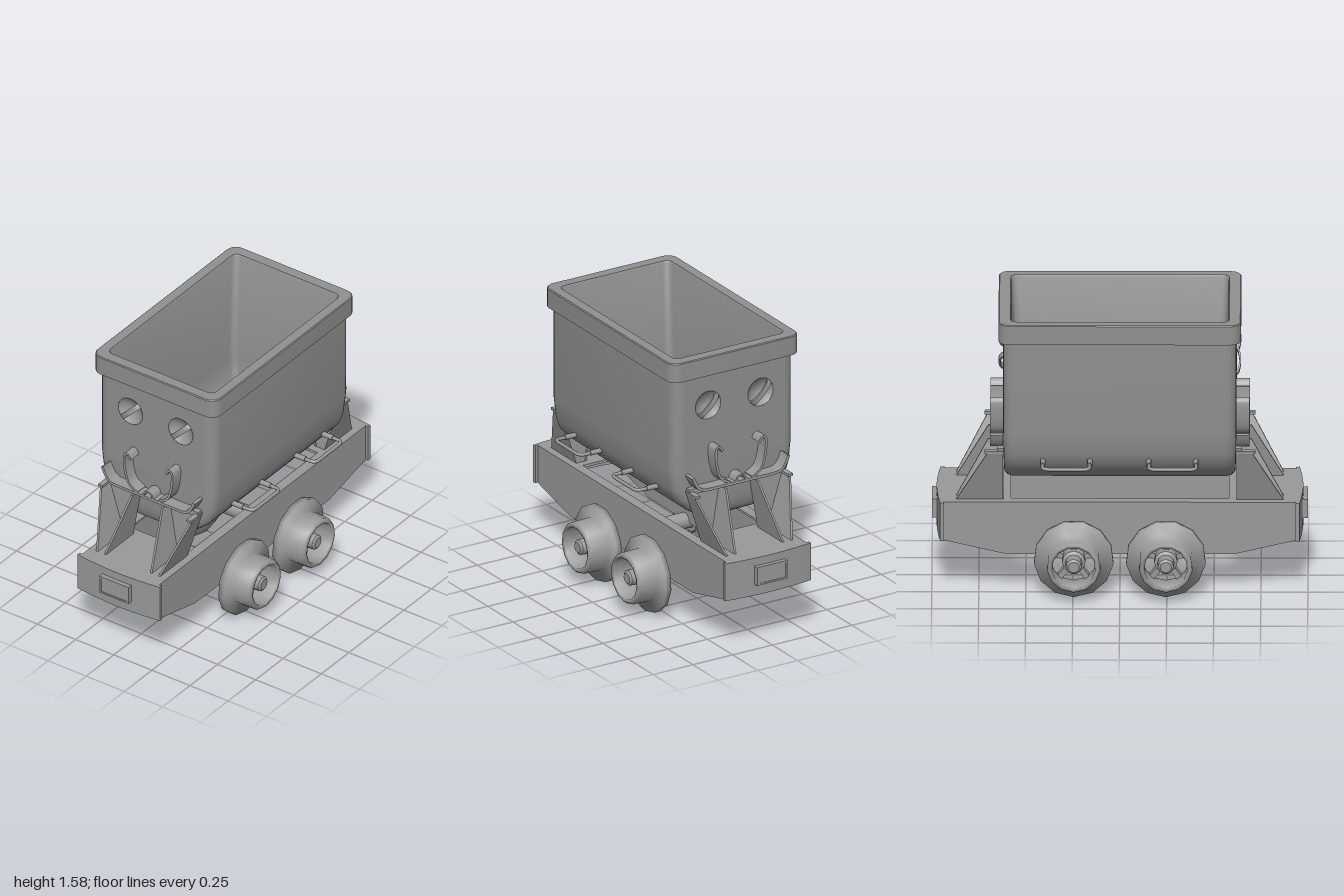
import * as THREE from 'three';
import { toCreasedNormals } from 'three/addons/utils/BufferGeometryUtils.js';

const steel = new THREE.MeshStandardMaterial({ color: 0x999999 });
const thin = new THREE.MeshStandardMaterial({ color: 0x999999, side: THREE.DoubleSide });
const tubSteel = new THREE.MeshStandardMaterial({ color: 0x909090 });

function add(parent, name, geometry, material = steel) {
  const mesh = new THREE.Mesh(geometry, material);
  mesh.name = name;
  parent.add(mesh);
  return mesh;
}

function box(x0, x1, y0, y1, z0, z1) {
  return new THREE.BoxGeometry(x1 - x0, y1 - y0, z1 - z0)
    .translate((x0 + x1) / 2, (y0 + y1) / 2, (z0 + z1) / 2);
}

const points = (pts) => pts.map(([x, y]) => new THREE.Vector2(x, y));
const shapeOf = (pts) => new THREE.Shape(points(pts));
const extrude = (shape, depth) =>
  toCreasedNormals(new THREE.ExtrudeGeometry(shape, { depth, bevelEnabled: false, curveSegments: 8 }), 0.6);

// Outline of a thin strip that follows a smooth 2D curve
function stripShape(pts, thickness, n = 20) {
  const curve = new THREE.SplineCurve(points(pts));
  const a = [], b = [];
  for (let i = 0; i <= n; i++) {
    const p = curve.getPoint(i / n), t = curve.getTangent(i / n), h = thickness / 2;
    a.push([p.x - t.y * h, p.y + t.x * h]);
    b.unshift([p.x + t.y * h, p.y - t.x * h]);
  }
  return shapeOf([...a, ...b]);
}

// Skin through rounded-rectangle levels [y, halfX, halfZ, radius]; one band leaves its end panels open
function tubGeometry(levels, openBand) {
  const seg = 5, n = 4 * (seg + 1), pos = [], index = [];
  for (const [y, hx, hz, r] of levels) {
    for (let c = 0; c < 4; c++) {
      const sx = c === 0 || c === 3 ? 1 : -1, sz = c < 2 ? 1 : -1;
      for (let i = 0; i <= seg; i++) {
        const a = (c + i / seg) * Math.PI / 2;
        pos.push(sx * (hx - r) + r * Math.cos(a), y, sz * (hz - r) + r * Math.sin(a));
      }
    }
  }
  for (let l = 0; l < levels.length - 1; l++) {
    for (let i = 0; i < n; i++) {
      if (l === openBand && (i === n - 1 || i === n / 2 - 1)) continue;
      const j = (i + 1) % n, a = l * n + i, b = l * n + j;
      index.push(a, a + n, b, b, a + n, b + n);
    }
  }
  const g = new THREE.BufferGeometry();
  g.setAttribute('position', new THREE.Float32BufferAttribute(pos, 3));
  g.setIndex(index);
  return toCreasedNormals(g, 0.7);
}

// Leg cheek: flat plate leaning sideways, from z0 at the deck to z1 at the top
function cheekGeometry(z0, z1) {
  const k = (z1 - z0) / 0.305;
  const lean = new THREE.Matrix4().set(1, 0, 0, 0, 0, 1, 0, 0, 0, k, 1, z0 - k * 0.515, 0, 0, 0, 1);
  const outline = shapeOf([[0.62, 0.515], [0.87, 0.515], [0.7, 0.82], [0.62, 0.82]]);
  return extrude(outline, 0.012).translate(0, 0, -0.006).applyMatrix4(lean);
}

function createWheel() {
  const wheel = new THREE.Group();
  wheel.name = 'wheel';
  // Flanged tyre, axis along z
  const rim = points([[0.115, 0.45], [0.125, 0.335], [0.125, 0.3], [0.14, 0.283], [0.16, 0.29], [0.213, 0.292],
    [0.213, 0.325], [0.145, 0.335], [0.143, 0.44], [0.132, 0.455], [0.115, 0.45]]);
  add(wheel, 'tyre', toCreasedNormals(new THREE.LatheGeometry(rim, 13).rotateX(Math.PI / 2), 1.7), thin);
  const hub = points([[0, 0.265], [0.065, 0.265], [0.062, 0.36], [0.045, 0.37], [0.042, 0.43], [0.03, 0.44], [0, 0.44]]);
  add(wheel, 'hub', toCreasedNormals(new THREE.LatheGeometry(hub, 12).rotateX(Math.PI / 2), 0.6), thin);
  for (let i = 0; i < 5; i++) {
    add(wheel, 'spoke', box(0.045, 0.13, -0.015, 0.015, 0.28, 0.33)).rotation.z = 0.3 + i * Math.PI * 0.4;
  }
  return wheel;
}

function createEnd() {
  const end = new THREE.Group();
  end.name = 'end';
  const eyeZ = 0.165, eyeY = 1.29, eyeR = 0.08;
  const strip = (name, pts, thickness) =>
    add(end, name, extrude(stripShape(pts, thickness, 32), 0.07).rotateY(Math.PI / 2).translate(0.62, 0, 0), thin);

  // Tub end panel with two round recesses, each crossed by an arched grab bar
  const panel = shapeOf([[-0.32, 0.95], [0.32, 0.95], [0.32, 1.47], [-0.32, 1.47]]);
  const dish = points([[0, -0.036], [0.03, -0.031], [0.06, -0.016], [eyeR, 0]]);
  const barShape = stripShape([[-0.08, -0.01], [-0.06, 0.01], [0, 0.02], [0.06, 0.01], [0.08, -0.01]], 0.01);
  const h = Math.SQRT1_2;
  const basis = new THREE.Matrix4().makeBasis(
    new THREE.Vector3(0, h, -h), new THREE.Vector3(1, 0, 0), new THREE.Vector3(0, -h, -h));
  for (const s of [-1, 1]) {
    panel.holes.push(new THREE.Path().absarc(s * eyeZ, eyeY, eyeR, 0, Math.PI * 2, true));
    add(end, 'recess', new THREE.LatheGeometry(dish, 24).rotateZ(-Math.PI / 2), thin)
      .position.set(0.62, eyeY, s * eyeZ);
    add(end, 'grabBar', extrude(barShape, 0.03).translate(0, 0, -0.015).applyMatrix4(basis))
      .position.set(0.62, eyeY, s * eyeZ);
  }
  add(end, 'endPanel', new THREE.ShapeGeometry(panel, 24).rotateY(Math.PI / 2).translate(0.62, 0, 0), tubSteel);

  // Curved rocker hooks and hollow flared legs
  const hook = [[0.115, 1.035], [0.13, 1.06], [0.15, 1.06], [0.158, 1.03], [0.15, 0.95], [0.125, 0.88], [0.07, 0.845]];
  const legBack = shapeOf([[0.145, 0.515], [0.21, 0.515], [0.3, 0.82], [0.1, 0.82]]);
  for (const s of [-1, 1]) {
    strip('rockerHook', hook.map(([z, y]) => [s * z, y]), 0.014);
    const leg = new THREE.Group();
    leg.name = 'leg';
    leg.scale.z = s;
    add(leg, 'outerCheek', cheekGeometry(0.204, 0.3));
    add(leg, 'innerCheek', cheekGeometry(0.151, 0.1));
    add(leg, 'legBack', extrude(legBack, 0.012).rotateY(-Math.PI / 2).translate(0.635, 0, 0));
    add(leg, 'legLip', box(0.615, 0.72, 0.81, 0.825, 0.275, 0.305));
    end.add(leg);
  }
  // Cradle rail with upturned ends and a small centre arch
  const half = [[0.3, 0.92], [0.285, 0.885], [0.26, 0.85], [0.22, 0.836], [0.1, 0.835]];
  strip('cradleRail', [...half, ...half.map(([z, y]) => [-z, y]).reverse()], 0.016);
  strip('centreArch', [[-0.032, 0.84], [-0.022, 0.865], [0, 0.874], [0.022, 0.865], [0.032, 0.84]], 0.01);
  add(end, 'cradleShelf', box(0.615, 0.65, 0.81, 0.84, -0.3, 0.3));

  // Frame end: deck, bowed buffer beam and coupling plate
  add(end, 'deck', box(0.58, 0.955, 0.5, 0.515, -0.245, 0.245));
  const beam = stripShape([[0.945, -0.27], [0.957, -0.16], [0.965, 0], [0.957, 0.16], [0.945, 0.27]], 0.02);
  add(end, 'bufferBeam', extrude(beam, 0.215).rotateX(-Math.PI / 2).translate(0, 0.3, 0));
  add(end, 'couplingPlate', box(0.96, 0.996, 0.37, 0.465, -0.09, 0.09));
  const rim = shapeOf([[-0.095, 0.365], [0.095, 0.365], [0.095, 0.47], [-0.095, 0.47]]);
  rim.holes.push(new THREE.Path(points([[-0.085, 0.375], [-0.085, 0.46], [0.085, 0.46], [0.085, 0.375]])));
  add(end, 'couplingRim', extrude(rim, 0.04).rotateY(Math.PI / 2).translate(0.96, 0, 0));
  return end;
}

export function createModel() {
  const model = new THREE.Group();
  model.name = 'tippingMineCart';

  // Tub: outside from the keel up, over the rim, then down the inside
  const levels = [
    [0.63, 0.58, 0, 0], [0.632, 0.58, 0.15, 0.04], [0.645, 0.602, 0.2, 0.05], [0.675, 0.614, 0.25, 0.06],
    [0.72, 0.616, 0.305, 0.06], [0.77, 0.617, 0.345, 0.06], [0.83, 0.618, 0.366, 0.06], [0.95, 0.62, 0.38, 0.06],
    [1.47, 0.62, 0.38, 0.06], [1.47, 0.645, 0.405, 0.06], [1.575, 0.645, 0.405, 0.06], [1.58, 0.64, 0.4, 0.055],
    [1.58, 0.582, 0.347, 0.035], [1.57, 0.577, 0.342, 0.035], [0.95, 0.545, 0.335, 0.035], [0.81, 0.54, 0.315, 0.035],
    [0.73, 0.535, 0.25, 0.035], [0.68, 0.53, 0.15, 0.035], [0.665, 0.53, 0, 0]];
  add(model, 'tub', tubGeometry(levels, 7), tubSteel);

  // Ends, repeated by a half turn
  const end = createEnd();
  const otherEnd = end.clone();
  otherEnd.rotation.y = Math.PI;
  model.add(end, otherEnd);

  const plate = shapeOf([[-0.945, 0.3], [-0.61, 0.22], [0.61, 0.22], [0.945, 0.3], [0.945, 0.515], [-0.945, 0.515]]);
  for (const s of [-1, 1]) {
    add(model, 'sidePlate', extrude(plate, 0.016).translate(0, 0, s * 0.244 - 0.008));
    add(model, 'topFlange', box(-0.6, 0.6, 0.503, 0.515, s * 0.22 - 0.025, s * 0.22 + 0.025));
    for (const cx of [-0.28, 0.285]) {
      // Side handles with stout feet
      const path = new THREE.CurvePath();
      const pts = [[-0.125, 0.34], [-0.125, 0.45], [-0.09, 0.482], [0.09, 0.482], [0.125, 0.45], [0.125, 0.34]]
        .map(([x, z]) => new THREE.Vector3(cx + x, 0.79, s * z));
      const corner = (i) => new THREE.Vector3(pts[i].x, 0.79, s * 0.482);
      path.add(new THREE.LineCurve3(pts[0], pts[1]));
      path.add(new THREE.QuadraticBezierCurve3(pts[1], corner(1), pts[2]));
      path.add(new THREE.LineCurve3(pts[2], pts[3]));
      path.add(new THREE.QuadraticBezierCurve3(pts[3], corner(4), pts[4]));
      path.add(new THREE.LineCurve3(pts[4], pts[5]));
      add(model, 'handle', new THREE.TubeGeometry(path, 40, 0.01, 8));
      for (const x of [-0.125, 0.125]) {
        add(model, 'handleFoot', new THREE.CylinderGeometry(0.015, 0.015, 0.07, 8).rotateX(Math.PI / 2))
          .position.set(cx + x, 0.79, s * 0.385);
      }
    }
  }

  // Wheelsets
  for (const x of [-0.245, 0.245]) {
    add(model, 'axle', new THREE.CylinderGeometry(0.045, 0.045, 0.56, 16).rotateX(Math.PI / 2)).position.set(x, 0.22, 0);
    for (const turn of [0, Math.PI]) {
      const wheel = createWheel();
      wheel.position.set(x, 0.215, 0);
      wheel.rotation.y = turn;
      model.add(wheel);
    }
  }
  return model;
}
